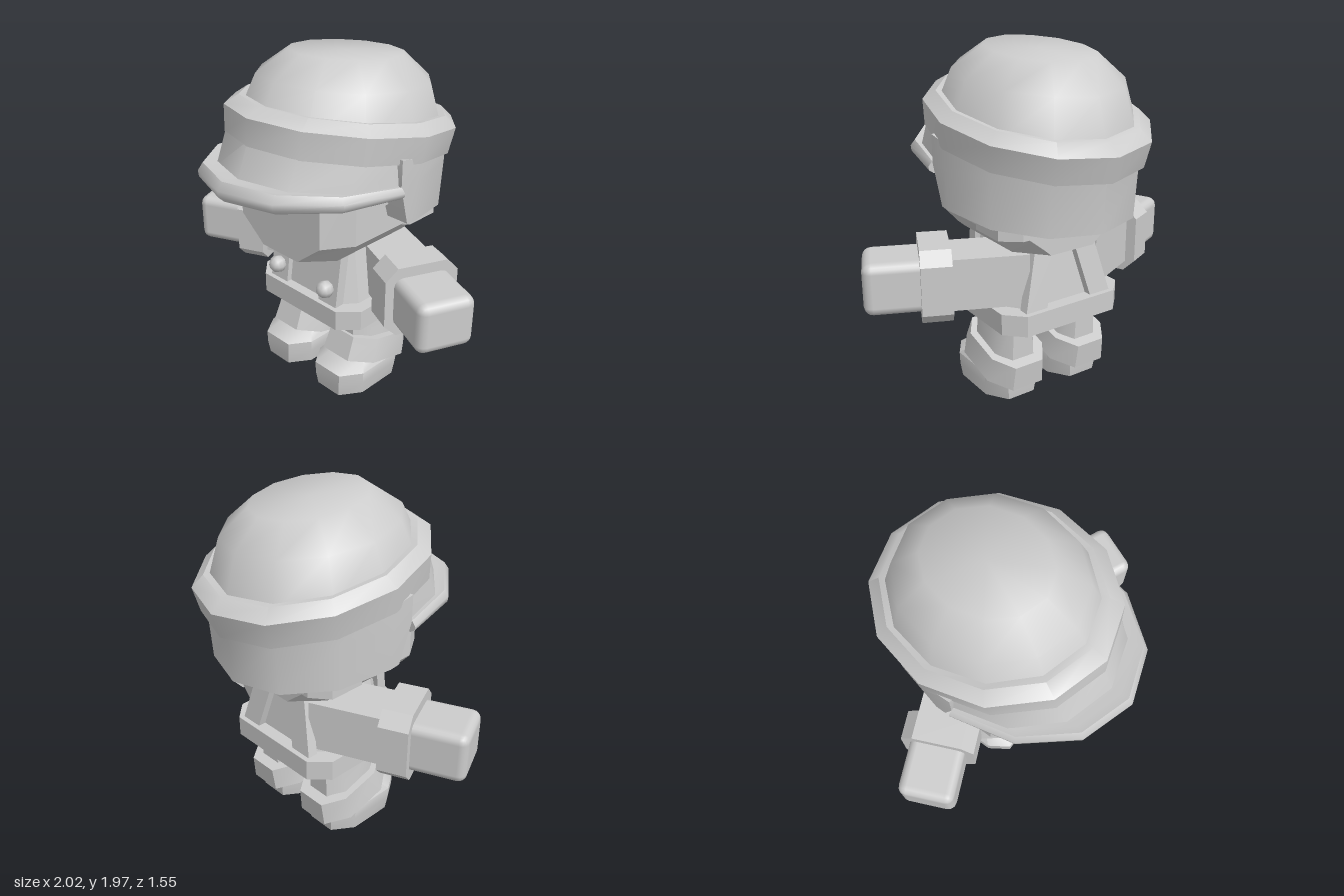
import * as THREE from 'three';
import { toCreasedNormals } from 'three/addons/utils/BufferGeometryUtils.js';
import { RoundedBoxGeometry } from 'three/addons/geometries/RoundedBoxGeometry.js';

const grey = new THREE.MeshStandardMaterial({ color: 0xcccccc });
grey.name = 'plain grey';
const rad = THREE.MathUtils.degToRad;

function part(parent, name, geometry, x = 0, y = 0, z = 0) {
  const mesh = new THREE.Mesh(geometry, grey);
  mesh.name = name;
  mesh.position.set(x, y, z);
  parent.add(mesh);
  return mesh;
}

// Closed solid through rings listed bottom to top, each counter-clockwise from above
function loft(rings, crease = 0.6) {
  const out = [];
  const tri = (...ps) => ps.forEach(p => out.push(p[0], p[1], p[2]));
  const n = rings[0].length;
  const middle = r => [0, 1, 2].map(k => r.reduce((s, p) => s + p[k], 0) / n);
  for (let i = 0; i < n; i++) {
    const j = (i + 1) % n;
    for (let k = 0; k + 1 < rings.length; k++) {
      const a = rings[k], b = rings[k + 1];
      tri(a[i], a[j], b[j]);
      tri(a[i], b[j], b[i]);
    }
    const lo = rings[0], hi = rings[rings.length - 1];
    tri(middle(lo), lo[j], lo[i]);
    tri(middle(hi), hi[i], hi[j]);
  }
  const g = new THREE.BufferGeometry();
  g.setAttribute('position', new THREE.Float32BufferAttribute(out, 3));
  return toCreasedNormals(g, crease);
}

// Rectangle with cut corners
function oct(hx, hz, y, cx = 0.08, cz = cx, z = 0) {
  return [[hx - cx, hz], [hx, hz - cz], [hx, cz - hz], [hx - cx, -hz],
    [cx - hx, -hz], [-hx, cz - hz], [-hx, hz - cz], [cx - hx, hz]].map(p => [p[0], y, p[1] + z]);
}

// Part of a twelve-sided oval; angle 0 is the front, yAt gives the height from z
function arc(from, to, rx, rz, z0, yAt) {
  const pts = [];
  for (let a = from; a <= to; a += 30) {
    const z = z0 + rz * Math.cos(rad(a));
    pts.push([rx * Math.sin(rad(a)), yAt(z), z]);
  }
  return pts;
}
const oval = (rx, rz, y) => arc(0, 330, rx, rz, 0, () => y);

function addHead(model) {
  const head = new THREE.Group();
  head.name = 'head';
  model.add(head);
  part(head, 'face', loft([
    oct(0.28, 0.41, 0.9, 0.14, 0.16, -0.027),
    oct(0.32, 0.41, 0.935, 0.14, 0.16, -0.027),
    oct(0.415, 0.41, 1.04, 0.105, 0.16, -0.027),
    oct(0.415, 0.41, 1.42, 0.105, 0.16, -0.027)], 0.4));
  part(head, 'backHair', loft([
    oct(0.44, 0.185, 1.03, 0.1, 0.08, -0.285), oct(0.44, 0.185, 1.3, 0.1, 0.08, -0.285)]));
  for (const s of [1, -1]) {
    const side = new THREE.Shape([[-0.1, 1.15], [0, 1.22], [0.13, 1.22], [0.26, 1.28], [0.26, 1.36], [-0.1, 1.36]]
      .map(p => new THREE.Vector2(-p[0], p[1])));
    const g = new THREE.ExtrudeGeometry(side, { depth: 0.06, bevelEnabled: false });
    g.rotateY(Math.PI / 2);
    part(head, 'sideHair', g, s > 0 ? 0.38 : -0.44);
  }
}

function addHelmet(model) {
  const helmet = new THREE.Group();
  helmet.name = 'helmet';
  model.add(helmet);

  // Tilted crown and the thick band around it
  const crown = part(helmet, 'crown', loft([
    oval(0.52, 0.6, 0.12), oval(0.445, 0.508, 0.345), oval(0.285, 0.342, 0.475)], 0.75), 0, 1.46, -0.08);
  crown.rotation.x = rad(-6);
  const band = part(helmet, 'band', loft([
    oval(0.57, 0.67, 0), oval(0.59, 0.685, 0.145), oval(0.525, 0.609, 0.2), oval(0.44, 0.5, 0.19)], 0.75), 0, 1.46, -0.08);
  band.rotation.x = rad(-10);

  // Neck guard behind the ears, its front end cut off flat
  const under = z => 1.49 + 0.176 * (z + 0.08);
  const guard = (rx, rz, front, yAt) => [...arc(90, 270, rx, rz, -0.08, yAt),
    [-rx, yAt(front), front], [rx, yAt(front), front]];
  part(helmet, 'neckGuard', loft([
    guard(0.55, 0.6, -0.02, z => 1.137 + 0.106 * z),
    guard(0.56, 0.62, 0.05, () => 1.36),
    guard(0.56, 0.625, 0.05, under)]));

  // Sloping front wall down to the peak
  const mid = z => 1.335 + 0.075 * (z - 0.05);
  part(helmet, 'frontWall', loft([
    arc(-90, 90, 0.545, 0.61, 0.04, z => mid(z) + 0.02),
    arc(-90, 90, 0.555, 0.65, -0.08, under)]));

  // Peak with a rounded rim, thinner toward its ends
  const peak = (s, k) => arc(-90, 90, 0.585 * s, 0.72 * s, 0.05,
    z => mid(z) + k * (0.033 + 0.032 * (z - 0.05)));
  part(helmet, 'peak', loft([
    peak(0.87, -0.7), peak(0.95, -1), peak(0.995, -0.45), peak(1, 0.2), peak(0.96, 1), peak(0.9, 0.85)], 0.95));
}

function addBody(model) {
  const body = new THREE.Group();
  body.name = 'body';
  model.add(body);
  part(body, 'torso', loft([
    oct(0.33, 0.285, 0.56, 0.08, 0.1, -0.09), oct(0.26, 0.235, 0.92, 0.06, 0.08, -0.09)]));
  part(body, 'hips', loft([
    oct(0.395, 0.348, 0.47, 0.1, 0.1, -0.098), oct(0.395, 0.348, 0.59, 0.1, 0.1, -0.098)]));

  // Straight front straps with buttons, slanted straps behind
  const strap = (x0, x1, z0, z1) => loft([[x0, 0.57, z0], [x1, 0.91, z1]].map(([x, y, z]) =>
    [[x - 0.068, y, z + 0.03], [x + 0.068, y, z + 0.03], [x + 0.068, y, z - 0.03], [x - 0.068, y, z - 0.03]]));
  for (const s of [1, -1]) {
    part(body, 'frontStrap', strap(s * 0.2, s * 0.2, 0.195, 0.15));
    part(body, 'backStrap', strap(s * 0.22, s * 0.13, -0.39, -0.34));
    const button = part(body, 'button', new THREE.SphereGeometry(0.052, 8, 6), s * 0.197, 0.69, 0.235);
    button.rotation.x = Math.PI / 2;
  }
}

// Arm points out along its own x axis
function addArm(model, name, side) {
  const arm = new THREE.Group();
  arm.name = name;
  arm.position.set(side * 0.54, 0.755, -0.06);
  arm.rotation.y = side > 0 ? rad(-24) : rad(204);
  model.add(arm);
  part(arm, 'sleeve', new THREE.BoxGeometry(0.42, 0.29, 0.3), -0.2);
  const cuff = part(arm, 'gloveCuff', loft([oct(0.205, 0.21, 0, 0.07), oct(0.205, 0.21, 0.165, 0.07)]));
  cuff.rotation.z = -Math.PI / 2;
  part(arm, 'hand', new RoundedBoxGeometry(0.38, 0.29, 0.32, 2, 0.05), 0.272);
}

function addLeg(model, name, side) {
  const leg = new THREE.Group();
  leg.name = name;
  leg.position.set(side * 0.218, 0, 0);
  model.add(leg);
  part(leg, 'trouserLeg', loft([
    oct(0.145, 0.19, 0.15, 0.07, 0.09, -0.098), oct(0.108, 0.19, 0.5, 0.05, 0.09, -0.098)], 0.85));
  const cuff = part(leg, 'bootCuff', loft([
    oct(0.188, 0.26, -0.072, 0.09, 0.13), oct(0.17, 0.24, 0.072, 0.08, 0.12)], 0.85), 0, 0.228, -0.1);
  cuff.rotation.x = rad(-14.5);
  part(leg, 'boot', loft([
    oct(0.165, 0.25, 0, 0.08, 0.12, -0.02), oct(0.175, 0.26, 0.08, 0.08, 0.12, -0.02),
    oct(0.178, 0.26, 0.15, 0.08, 0.12, -0.02), oct(0.13, 0.19, 0.21, 0.07, 0.1, -0.02)], 0.85));
}

export function createModel() {
  const model = new THREE.Group();
  model.name = 'helmetedFigure';
  addHead(model);
  addHelmet(model);
  addBody(model);
  addArm(model, 'leftArm', 1);
  addArm(model, 'rightArm', -1);
  addLeg(model, 'leftLeg', 1);
  addLeg(model, 'rightLeg', -1);
  return model;
}
